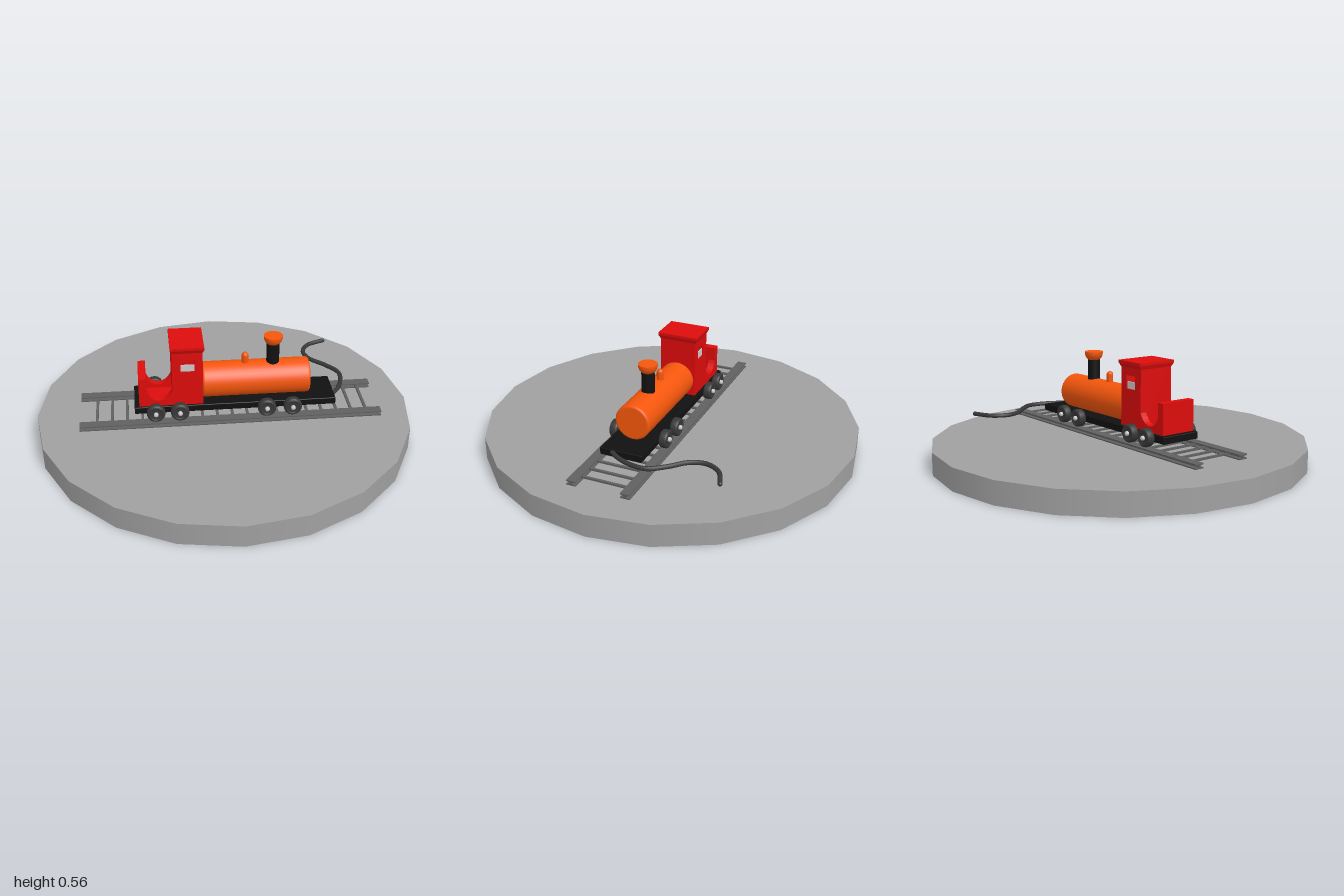
import * as THREE from 'three';
import { RoundedBoxGeometry } from 'three/addons/geometries/RoundedBoxGeometry.js';

const mat = (color) => new THREE.MeshStandardMaterial({ color });
const MID_Z = 0.02; // centre line of track and engine

export function createModel() {
  const root = new THREE.Group();
  root.name = 'toyTrainOnBase';
  const red = mat(0xdd0c0c), orange = mat(0xf4560c), black = mat(0x111111);
  const steel = mat(0x606060), tyre = mat(0x383838), stone = mat(0xa0a0a0), pale = mat(0xcccccc);

  const add = (name, geo, material, x = 0, y = 0, z = 0, parent = root) => {
    const m = new THREE.Mesh(geo, material);
    m.name = name;
    m.position.set(x, y, z);
    parent.add(m);
    return m;
  };
  // Box given by its low and high corners
  const block = (name, material, a, b, parent) => add(name,
    new THREE.BoxGeometry(b[0] - a[0], b[1] - a[1], b[2] - a[2]), material,
    (a[0] + b[0]) / 2, (a[1] + b[1]) / 2, (a[2] + b[2]) / 2, parent);
  const lathe = (pts, seg) => new THREE.LatheGeometry(pts.map((p) => new THREE.Vector2(...p)), seg);
  const polygon = (pts) => new THREE.Shape(pts.map((p) => new THREE.Vector2(...p)));
  const slab = (shape, depth) => new THREE.ExtrudeGeometry(shape,
    { depth, bevelEnabled: false, curveSegments: 12 });

  // Round base
  add('base', new THREE.CylinderGeometry(1, 1, 0.12, 20), stone, 0, 0.06, 0);

  // Track: I-section rails and cross ties
  const track = new THREE.Group();
  track.name = 'track';
  root.add(track);
  const half = [[0.025, 0.132], [0.025, 0.138], [0.007, 0.141], [0.007, 0.149], [0.025, 0.152], [0.025, 0.158]];
  const railShape = polygon([...half, ...half.slice().reverse().map(([x, y]) => [-x, y])]);
  for (const s of [-1, 1]) {
    add('rail', slab(railShape, 1.595).rotateY(Math.PI / 2), steel, -0.77, 0, MID_Z + s * 0.143, track);
  }
  for (let i = 0; i < 19; i++) {
    add('tie', new THREE.BoxGeometry(0.014, 0.01, 0.29), steel, -0.68 + i * 0.0795, 0.146, MID_Z, track);
  }

  // Chassis
  add('chassis', new RoundedBoxGeometry(1.065, 0.038, 0.226, 2, 0.004), black, 0.0525, 0.204, MID_Z - 0.002);

  // Wheels with hubs and axles
  const wheelGeo = lathe([[0, -0.021], [0.04, -0.021], [0.046, -0.017], [0.048, -0.01],
    [0.048, 0.01], [0.046, 0.017], [0.04, 0.021], [0.034, 0.021], [0.03, 0.016], [0, 0.016]], 28).rotateX(Math.PI / 2);
  const hubGeo = lathe([[0, -0.01], [0.012, -0.01], [0.012, 0.012], [0.008, 0.016], [0, 0.017]], 14).rotateX(Math.PI / 2);
  for (const x of [-0.37, -0.244, 0.213, 0.35]) {
    add('axle', new THREE.CylinderGeometry(0.01, 0.01, 0.28, 10).rotateX(Math.PI / 2), tyre, x, 0.206, MID_Z);
    for (const s of [-1, 1]) {
      const wheel = new THREE.Group();
      wheel.name = 'wheel';
      wheel.position.set(x, 0.206, MID_Z + s * 0.138);
      if (s < 0) wheel.rotation.y = Math.PI;
      root.add(wheel);
      add('tyre', wheelGeo, tyre, 0, 0, 0, wheel);
      add('hub', hubGeo, pale, 0, 0, 0.015, wheel);
    }
  }

  // Boiler with softened ends
  const R = 0.094, L = 0.285, e = 0.012;
  const boilerPts = [[0, -L], [R - e, -L]];
  for (let i = 0; i <= 4; i++) {
    const a = (i / 4) * Math.PI / 2;
    boilerPts.push([R - e + e * Math.sin(a), -L + e - e * Math.cos(a)]);
  }
  const boilerProfile = [...boilerPts, ...boilerPts.slice().reverse().map(([r, y]) => [r, -y])];
  add('boiler', lathe(boilerProfile, 36).rotateZ(-Math.PI / 2), orange, 0.165, 0.313, MID_Z);

  // Steam dome and chimney
  const domePts = [[0.018, 0.39]];
  for (let i = 0; i <= 6; i++) {
    const a = (i / 6) * Math.PI / 2;
    domePts.push([0.018 * Math.cos(a), 0.446 + 0.018 * Math.sin(a)]);
  }
  add('steamDome', lathe(domePts, 18), orange, 0.11, 0, MID_Z);
  add('chimney', new THREE.CylinderGeometry(0.034, 0.034, 0.125, 24), black, 0.257, 0.4475, MID_Z);
  const bowlPts = [];
  for (let i = 0; i <= 7; i++) {
    const a = (i / 7) * Math.PI / 2;
    bowlPts.push([0.05 * Math.sin(a), 0.547 - 0.045 * Math.cos(a)]);
  }
  add('chimneyBowl', lathe(bowlPts, 24), orange, 0.257, 0, MID_Z);
  add('chimneyRim', new THREE.CylinderGeometry(0.05, 0.05, 0.01, 24), orange, 0.257, 0.551, MID_Z);

  // Cab: hollow, with a half-glazed window each side
  const cab = new THREE.Group();
  cab.name = 'cab';
  root.add(cab);
  const z0 = MID_Z - 0.1, z1 = MID_Z + 0.1, t = 0.018;
  const side = polygon([[-0.28, 0.222], [-0.12, 0.222], [-0.12, 0.54], [-0.28, 0.54]]);
  side.holes.push(polygon([[-0.235, 0.42], [-0.235, 0.49], [-0.163, 0.49], [-0.163, 0.42]]));
  for (const z of [z0, z1 - t]) {
    add('cabSide', slab(side, t), red, 0, 0, z, cab);
    block('windowPane', pale, [-0.235, 0.42, z + 0.006], [-0.163, 0.457, z + 0.012], cab);
  }
  block('cabFront', red, [-0.12 - t, 0.222, z0 + t], [-0.12, 0.54, z1 - t], cab);
  block('cabBack', red, [-0.28, 0.222, z0 + t], [-0.28 + t, 0.54, z1 - t], cab);

  // Roof: flared underside below a thin top slab
  const flare = new THREE.BoxGeometry(0.176, 0.02, 0.222);
  const p = flare.attributes.position;
  for (let i = 0; i < p.count; i++) {
    if (p.getY(i) < 0) p.setXYZ(i, p.getX(i) * 0.91, p.getY(i), p.getZ(i) * 0.91);
  }
  flare.computeVertexNormals();
  add('roofFlare', flare, red, -0.2, 0.54, MID_Z, cab);
  add('roofTop', new THREE.BoxGeometry(0.176, 0.014, 0.222), red, -0.2, 0.557, MID_Z, cab);

  // Rear bunker: curved side walls, floor and back panel
  const bunker = new THREE.Group();
  bunker.name = 'rearBunker';
  root.add(bunker);
  const wall = new THREE.Shape();
  wall.moveTo(-0.42, 0.222);
  wall.lineTo(-0.28, 0.222);
  wall.lineTo(-0.28, 0.31);
  wall.bezierCurveTo(-0.31, 0.235, -0.39, 0.235, -0.415, 0.31);
  wall.lineTo(-0.42, 0.31);
  wall.closePath();
  for (const z of [z0, z1 - 0.036]) add('bunkerSide', slab(wall, 0.036), red, 0, 0, z, bunker);
  block('bunkerBack', red, [-0.455, 0.222, z0], [-0.415, 0.385, z1], bunker);
  block('bunkerFloor', red, [-0.415, 0.222, z0 + 0.036], [-0.28, 0.235, z1 - 0.036], bunker);

  // Pull cord
  const cord = new THREE.CatmullRomCurve3([[0.57, 0.075], [0.61, 0.03], [0.647, -0.05], [0.657, -0.15], [0.6, -0.235],
    [0.52, -0.32], [0.5, -0.4], [0.54, -0.475], [0.64, -0.522]].map(([x, z]) => new THREE.Vector3(x, 0.209, z)));
  add('pullCord', new THREE.TubeGeometry(cord, 60, 0.012, 10), tyre);
  for (const u of [0, 1]) {
    const end = cord.getPointAt(u);
    add('cordEnd', new THREE.SphereGeometry(0.012, 10, 8), tyre, end.x, end.y, end.z);
  }

  return root;
}
